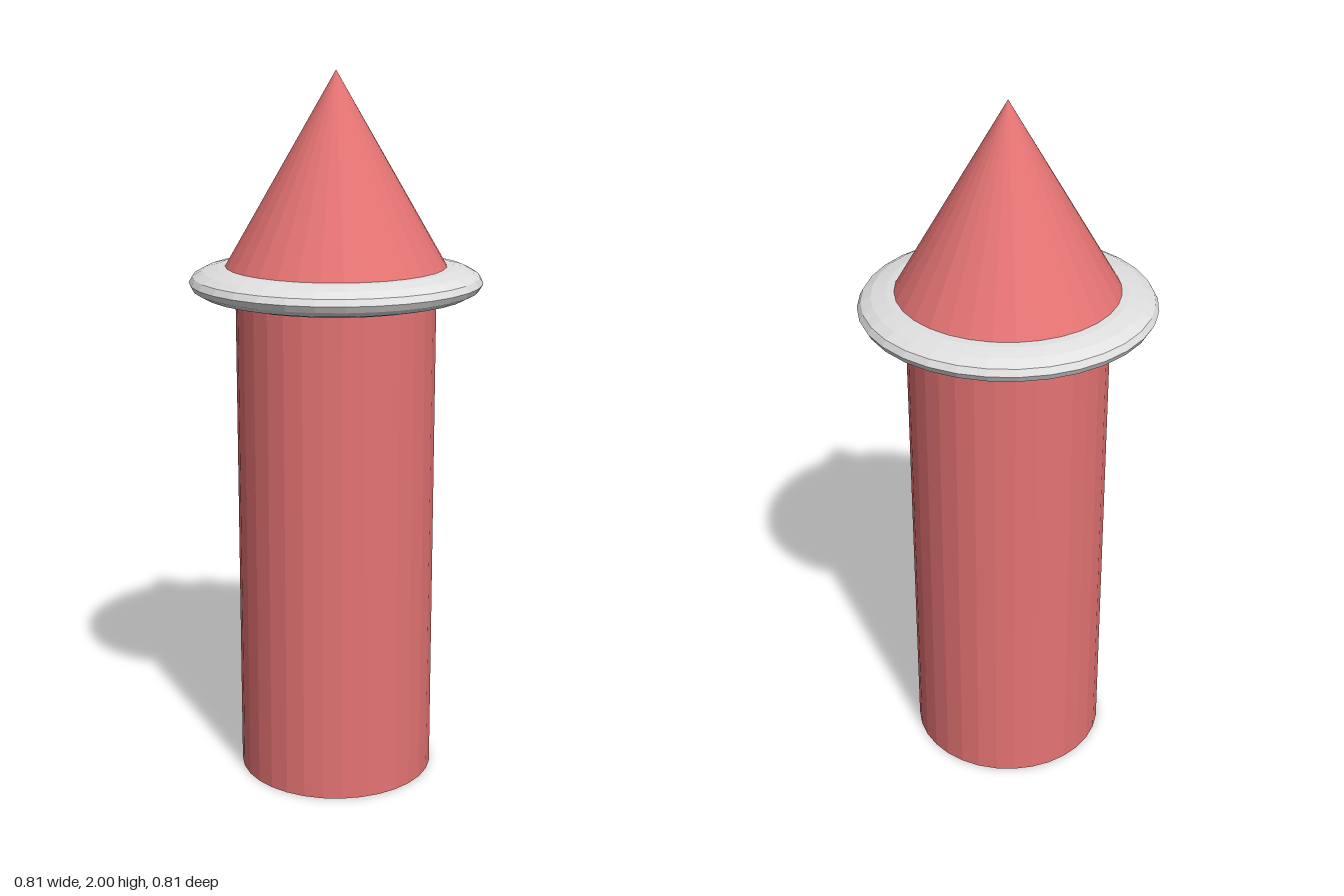
import * as THREE from 'three';

export function createModel() {
  const model = new THREE.Group();
  const red = new THREE.MeshStandardMaterial({ name: 'coral red', color: 0xe57373, flatShading: true });
  const grey = new THREE.MeshStandardMaterial({ name: 'light grey', color: 0xe0e0e0, flatShading: true });
  const sides = 32;

  const add = (name, geometry, material, y) => {
    const mesh = new THREE.Mesh(geometry, material);
    mesh.name = name;
    mesh.position.y = y;
    model.add(mesh);
  };

  // Straight column up to the middle of the collar
  const columnHeight = 1.43;
  add('column', new THREE.CylinderGeometry(0.278, 0.278, columnHeight, sides), red, columnHeight / 2);

  // Flattened ring centred on the column's rim
  const ring = new THREE.TorusGeometry(0.278, 0.128, 16, sides);
  ring.rotateX(Math.PI / 2);
  ring.scale(1, 0.36, 1);
  add('collar', ring, grey, columnHeight);

  // Pointed cap resting in the collar
  const capBase = 1.47;
  add('pointedCap', new THREE.ConeGeometry(0.308, 2 - capBase, sides), red, (2 + capBase) / 2);

  return model;
}
